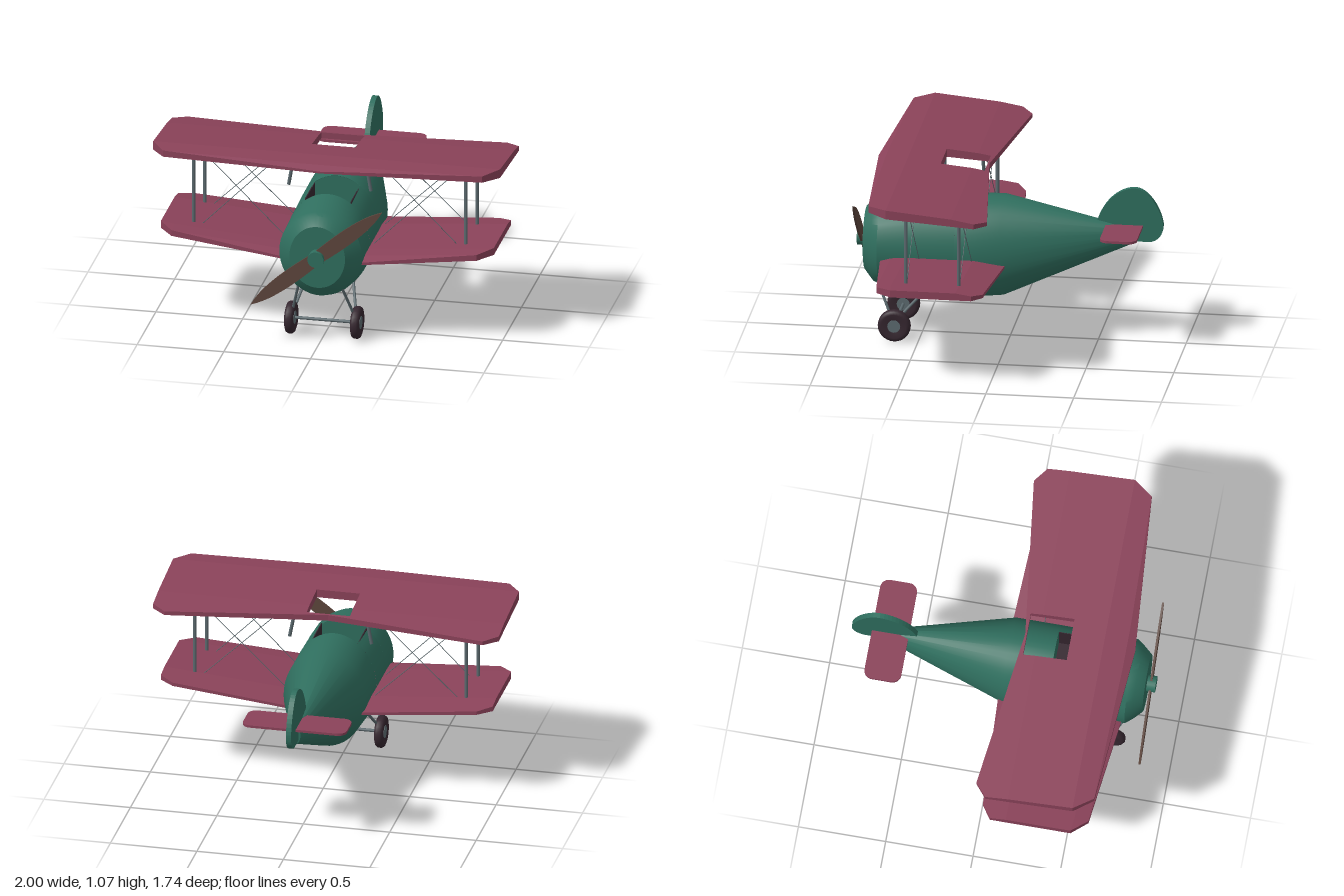
import * as THREE from 'three';
import { toCreasedNormals } from 'three/addons/utils/BufferGeometryUtils.js';

const mat = (name, color, extra = {}) => new THREE.MeshStandardMaterial({ name, color, ...extra });

export function createModel() {
  const green = mat('green paint', 0x2f6e5e, { side: THREE.DoubleSide });
  const maroon = mat('maroon fabric', 0x8a4259);
  const grey = mat('grey metal', 0x5b696e);
  const dark = mat('dark rubber', 0x35262f, { side: THREE.DoubleSide });
  const brown = mat('brown wood', 0x5c453c);

  const plane = new THREE.Group();
  plane.name = 'biplane';
  const add = (name, geo, material, x = 0, y = 0, z = 0) => {
    const m = new THREE.Mesh(geo, material);
    m.name = name;
    m.position.set(x, y, z);
    plane.add(m);
    return m;
  };

  // Round rod between two points
  const rod = (name, a, b, r, material = grey, sides = 10) => {
    const p = new THREE.Vector3(...a), q = new THREE.Vector3(...b);
    const m = add(name, new THREE.CylinderGeometry(r, r, p.distanceTo(q), sides), material);
    m.position.copy(p).lerp(q, 0.5);
    m.quaternion.setFromUnitVectors(new THREE.Vector3(0, 1, 0), q.sub(p).normalize());
  };

  // Elliptical hull through rings [z, centreY, halfHeight, halfWidth]; open leaves a gap at the top
  const hull = (name, rings, open = 0) => {
    const n = 48, pos = [], idx = [];
    rings.forEach(([z, cy, h, w], i) => {
      for (let j = 0; j <= n; j++) {
        const t = open + (j / n) * (Math.PI * 2 - 2 * open);
        pos.push(w * Math.sin(t), cy + h * Math.cos(t), z);
        if (i && j) {
          const c = i * (n + 1) + j, a = c - n - 1;
          idx.push(a - 1, a, c - 1, a, c, c - 1);
        }
      }
    });
    const g = new THREE.BufferGeometry();
    g.setAttribute('position', new THREE.Float32BufferAttribute(pos, 3));
    g.setIndex(idx);
    add(name, toCreasedNormals(g, 0.5), green);
  };
  const cockFront = [0.53, 0.524, 0.292, 0.24], cockRear = [0.29, 0.527, 0.305, 0.24];
  hull('noseHull', [[0.82, 0.545, 0, 0], [0.82, 0.545, 0.185, 0.16], [0.77, 0.535, 0.24, 0.205],
    [0.73, 0.533, 0.252, 0.238], cockFront]);
  hull('cockpitHull', [cockFront, [0.49, 0.522, 0.296, 0.24], cockRear], 0.573);
  hull('rearHull', [cockRear, [0.03, 0.543, 0.292, 0.236], [-0.68, 0.628, 0.053, 0.025], [-0.68, 0.628, 0, 0]]);

  // Cockpit bulkheads, floor and side walls
  for (const [z, cy, h, w] of [cockFront, cockRear]) {
    const e = new THREE.Shape().absellipse(0, 0, w - 0.001, h - 0.001, 0, Math.PI * 2);
    add('cockpitBulkhead', new THREE.ShapeGeometry(e, 24), green, 0, cy, z);
  }
  add('cockpitFloor', new THREE.BoxGeometry(0.26, 0.01, 0.24), dark, 0, 0.6, 0.41);
  for (const s of [-1, 1]) add('cockpitWall', new THREE.BoxGeometry(0.006, 0.18, 0.238), dark, s * 0.131, 0.688, 0.41);

  // Wing from stations [x, trailingZ, leadingZ] crossed with rows of z; hole(i, j) leaves cells out
  const wing = (name, stations, rows, top, bottom, hole = () => false) => {
    const pos = [];
    const quad = (a, b, c, d) => [a, b, c, a, c, d].forEach(p => pos.push(...p));
    const last = rows.length - 1;
    const pt = (i, j, f) => {
      const [x, back, front] = stations[i];
      const z = j === 0 ? back : j === last ? front : Math.min(Math.max(rows[j], back), front);
      return [x, f(z, Math.abs(x)), z];
    };
    const has = (i, j) => i >= 0 && j >= 0 && i < stations.length - 1 && j < last && !hole(i, j);
    for (let i = 0; i < stations.length - 1; i++) for (let j = 0; j < last; j++) {
      if (!has(i, j)) continue;
      const c = [[i, j], [i, j + 1], [i + 1, j + 1], [i + 1, j]];
      const t = c.map(k => pt(...k, top)), b = c.map(k => pt(...k, bottom));
      quad(...t);
      quad(b[3], b[2], b[1], b[0]);
      [[i - 1, j], [i, j + 1], [i + 1, j], [i, j - 1]].forEach((k, e) => {
        const f = (e + 1) % 4;
        if (!has(...k)) quad(t[e], b[e], b[f], t[f]);
      });
    }
    const g = new THREE.BufferGeometry();
    g.setAttribute('position', new THREE.Float32BufferAttribute(pos, 3));
    g.computeVertexNormals();
    add(name, g, maroon);
  };
  // Piecewise-linear height curve
  const curve = pts => z => {
    let k = 1;
    while (k < pts.length - 1 && z > pts[k][0]) k++;
    const [z0, y0] = pts[k - 1], [z1, y1] = pts[k];
    return y0 + (y1 - y0) * (z - z0) / (z1 - z0);
  };
  const mirror = half => half.map(([x, a, b]) => [-x, a, b]).reverse();

  // Upper wing with the opening above the cockpit
  const upperHalf = [[0.125, 0.105, 0.74], [0.92, 0.005, 0.68], [1, 0.07, 0.57]];
  wing('upperWing', [...mirror(upperHalf), [0, 0.12, 0.75], ...upperHalf],
    [0, 0.13, 0.2, 0.38, 0.57, 0.7, 0.76],
    curve([[0, 0.998], [0.2, 1.033], [0.57, 1.068], [0.7, 1.06], [0.76, 1.035]]),
    z => 0.976 + 0.07 * z,
    (i, j) => (i === 2 || i === 3) && (j === 1 || j === 2));

  // Lower wings, rising towards the tips
  const lowerHalf = [[0.15, 0, 0.72], [0.88, 0.035, 0.64], [0.96, 0.09, 0.55]];
  const rise = x => 0.475 + (x - 0.23) * 0.083;
  const camber = curve([[0, 0.015], [0.18, 0.042], [0.56, 0.042], [0.65, 0.034], [0.72, 0.012]]);
  for (const st of [lowerHalf, mirror(lowerHalf)])
    wing('lowerWing', st, [0, 0.18, 0.56, 0.65, 0.72], (z, x) => rise(x) + camber(z), (z, x) => rise(x));

  // Struts and crossed bracing wires
  for (const s of [-1, 1]) for (const z of [0.485, 0.185]) {
    const up = 0.98 + 0.07 * z;
    rod('wingStrut', [s * 0.785, 0.54, z], [s * 0.785, up + 0.01, z], 0.01);
    rod('cabaneStrut', [s * 0.237, 0.838, z], [s * 0.207, up, z], 0.01);
    rod('bracingWire', [s * 0.75, up, z], [s * 0.235, 0.5, z], 0.0022, grey, 5);
    rod('bracingWire', [s * 0.28, up, z], [s * 0.75, 0.54, z], 0.0022, grey, 5);
  }

  // Tailplane with rounded corners
  const a = 0.3, b = 0.105, r = 0.05, tail = new THREE.Shape();
  tail.absarc(a - r, b - r, r, 0, Math.PI / 2);
  tail.absarc(r - a, b - r, r, Math.PI / 2, Math.PI);
  tail.absarc(r - a, r - b, r, Math.PI, Math.PI * 1.5);
  tail.absarc(a - r, r - b, r, Math.PI * 1.5, Math.PI * 2);
  const tailGeo = new THREE.ExtrudeGeometry(tail, { depth: 0.014, bevelEnabled: false, curveSegments: 6 });
  add('tailplane', tailGeo.rotateX(-Math.PI / 2), maroon, 0, 0.682, -0.65);

  // Fin and rudder, drawn with u = -z
  const fin = new THREE.Shape();
  fin.moveTo(0.6, 0.64);
  fin.lineTo(0.495, 0.715);
  fin.bezierCurveTo(0.53, 0.83, 0.62, 0.915, 0.71, 0.916);
  fin.bezierCurveTo(0.79, 0.915, 0.86, 0.79, 0.87, 0.71);
  fin.bezierCurveTo(0.873, 0.65, 0.85, 0.615, 0.8, 0.6);
  fin.lineTo(0.66, 0.6);
  const finGeo = new THREE.ExtrudeGeometry(fin, { depth: 0.03, bevelEnabled: false, curveSegments: 12 });
  add('fin', finGeo.translate(0, 0, -0.015).rotateY(Math.PI / 2), green);

  // Propeller and hub
  const blade = new THREE.Shape();
  blade.moveTo(-0.49, 0);
  blade.bezierCurveTo(-0.36, -0.055, -0.15, -0.045, 0, -0.036);
  blade.bezierCurveTo(0.15, -0.045, 0.36, -0.055, 0.49, 0);
  blade.bezierCurveTo(0.36, 0.055, 0.15, 0.045, 0, 0.036);
  blade.bezierCurveTo(-0.15, 0.045, -0.36, 0.055, -0.49, 0);
  const prop = add('propeller', new THREE.ExtrudeGeometry(blade, { depth: 0.012, bevelEnabled: false }), brown, 0, 0.548, 0.836);
  prop.rotation.z = 0.687;
  add('propellerHub', new THREE.CylinderGeometry(0.047, 0.047, 0.07, 24).rotateX(Math.PI / 2), green, 0, 0.548, 0.835);

  // Landing gear
  const tyre = [[0.035, -0.02], [0.07, -0.027], [0.085, -0.022], [0.093, -0.01],
    [0.093, 0.01], [0.085, 0.022], [0.07, 0.027], [0.035, 0.02]].map(p => new THREE.Vector2(...p));
  for (const s of [-1, 1]) {
    add('tyre', new THREE.LatheGeometry(tyre, 28).rotateZ(Math.PI / 2), dark, s * 0.19, 0.093, 0.635);
    add('wheelHub', new THREE.CylinderGeometry(0.037, 0.037, 0.046, 20).rotateZ(Math.PI / 2), grey, s * 0.19, 0.093, 0.635);
    rod('frontGearStrut', [s * 0.19, 0.1, 0.637], [s * 0.125, 0.34, 0.742], 0.008);
    rod('rearGearStrut', [s * 0.19, 0.1, 0.645], [s * 0.125, 0.31, 0.45], 0.008);
  }
  rod('axle', [-0.19, 0.093, 0.635], [0.19, 0.093, 0.635], 0.009);

  return plane;
}
